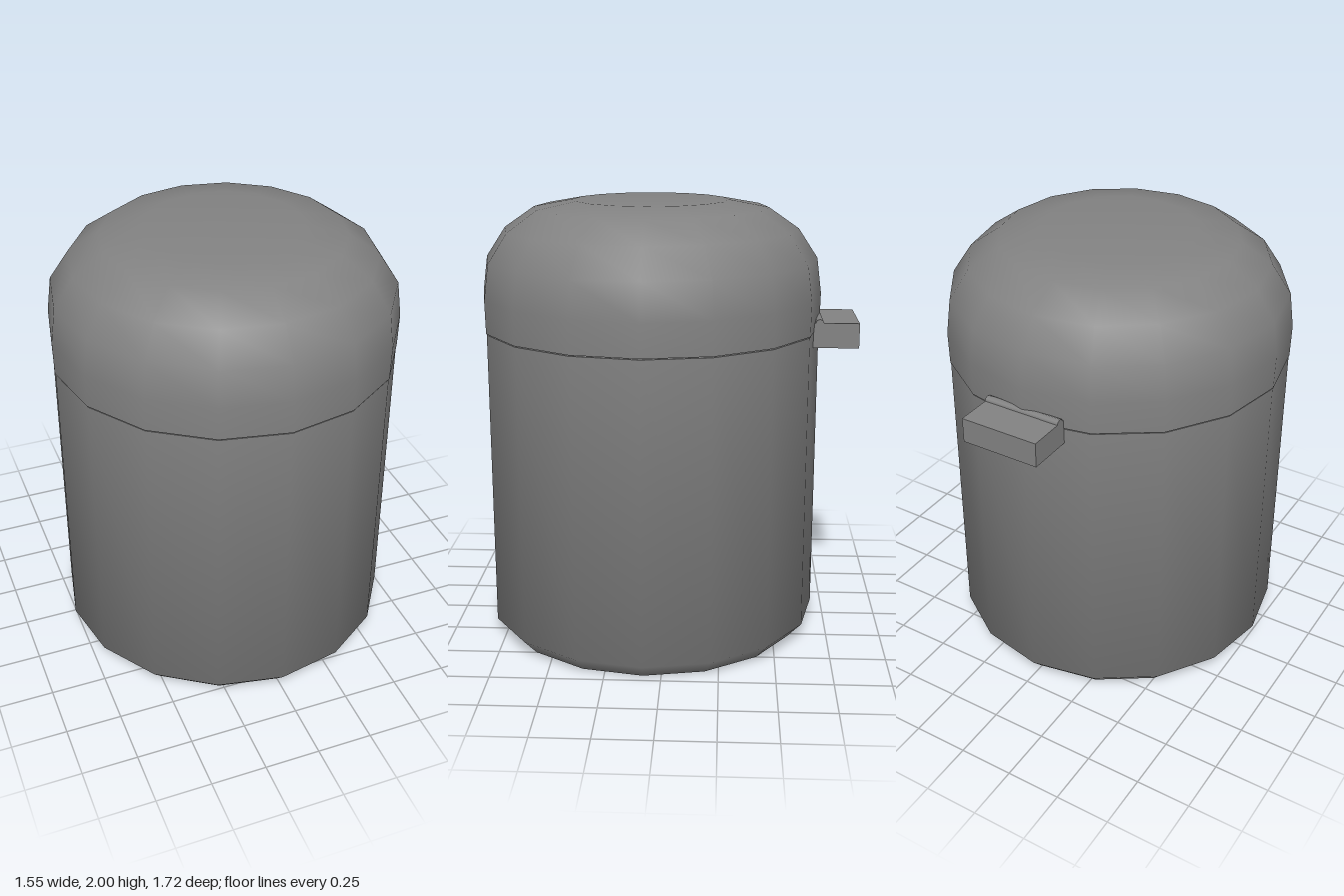
import * as THREE from 'three';

const CENTRE_Z = 0.08; // the round body sits slightly forward of the hinge
const SIDES = 16;

export function createModel() {
  const model = new THREE.Group();
  const material = new THREE.MeshStandardMaterial({ color: 0x828282 });

  function add(name, geometry, x, y, z) {
    const mesh = new THREE.Mesh(geometry, material);
    mesh.name = name;
    mesh.position.set(x, y, z);
    model.add(mesh);
    return mesh;
  }

  // Lathe whose normals weigh neighbouring profile segments equally, for soft bevels
  function lathe(name, profile) {
    const points = profile.map(([r, y]) => new THREE.Vector2(r, y));
    const facing = points.slice(1).map((p, i) =>
      new THREE.Vector2(p.y - points[i].y, points[i].x - p.x).normalize());
    const normals = points.map((p, i) => {
      const before = facing[Math.max(i - 1, 0)];
      const after = facing[Math.min(i, facing.length - 1)];
      return before.clone().add(after).normalize();
    });
    const geometry = new THREE.LatheGeometry(points, SIDES);
    for (let s = 0; s <= SIDES; s++) {
      const a = (s / SIDES) * Math.PI * 2;
      normals.forEach((n, j) => geometry.attributes.normal.setXYZ(
        s * points.length + j, n.x * Math.sin(a), n.y, n.x * Math.cos(a)));
    }
    add(name, geometry, 0, 0, CENTRE_Z);
  }

  // Canister with a bevelled foot, closed at the seam
  lathe('body', [[0, 0], [0.705, 0], [0.77, 0.07], [0.77, 1.428]]);
  lathe('bodyTop', [[0.77, 1.428], [0, 1.428]]);

  // Domed lid, separated from the body by a thin gap
  lathe('lid', [
    [0.773, 1.433], [0.776, 1.58], [0.755, 1.74], [0.668, 1.872],
    [0.532, 1.966], [0.35, 2], [0, 2],
  ]);
  lathe('lidUnderside', [[0, 1.433], [0.773, 1.433]]);

  // Hinge block at the back with a thin pin lying along its top
  add('hinge', new THREE.BoxGeometry(0.36, 0.112, 0.205), 0, 1.416, -0.7575);
  const pin = add('hingePin', new THREE.CylinderGeometry(0.02, 0.02, 0.36, 8), 0, 1.47, -0.683);
  pin.rotation.z = Math.PI / 2;

  return model;
}
